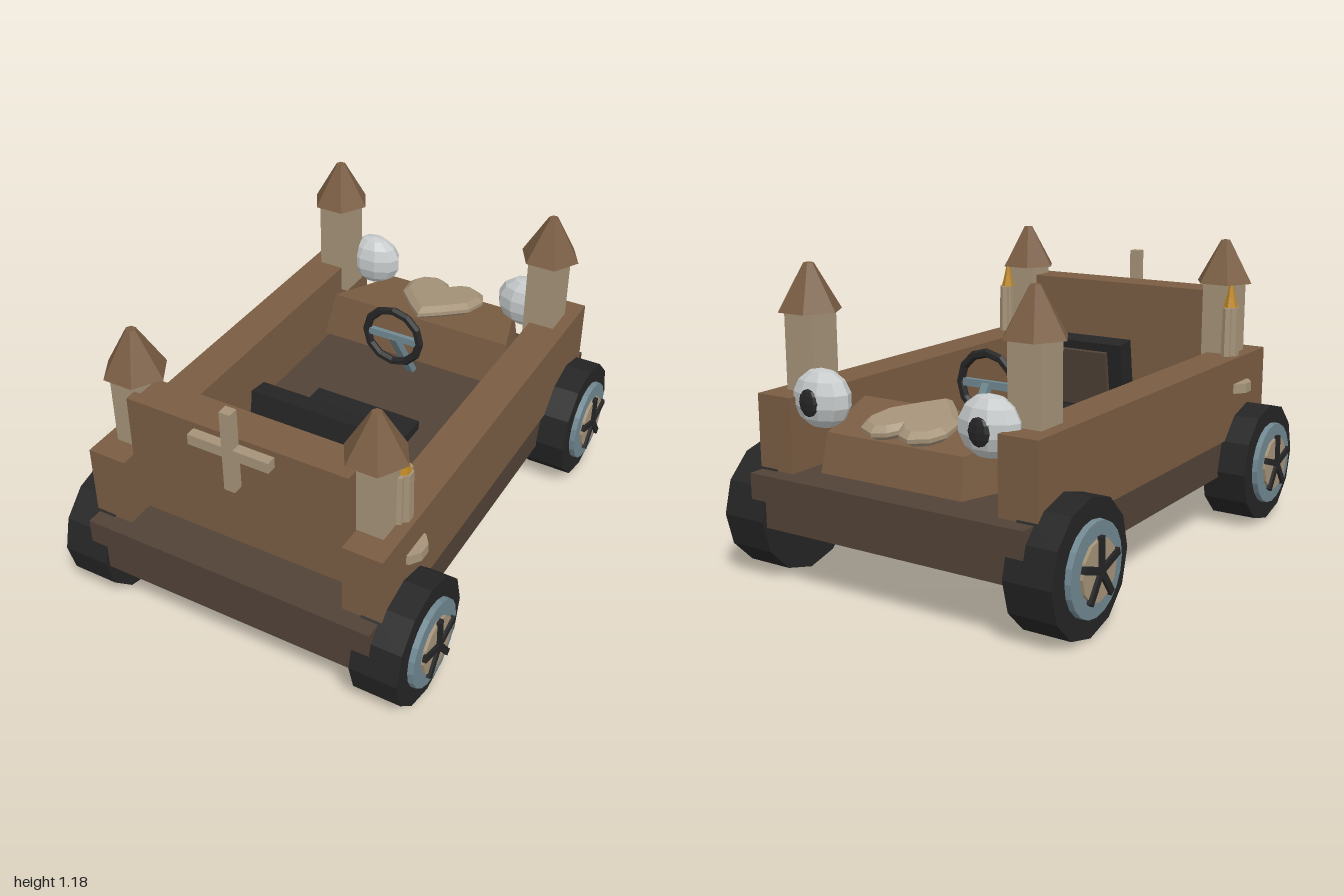
import * as THREE from 'three';

const mat = (name, color) => {
  const m = new THREE.MeshStandardMaterial({ color });
  m.name = name;
  m.flatShading = true;
  return m;
};

export function createModel() {
  const brown = mat('brown wood', 0x7a5d43);
  const dark = mat('dark wood', 0x514237);
  const tan = mat('pale stone', 0xa59379);
  const black = mat('black rubber', 0x252525);
  const steel = mat('blue grey metal', 0x708892);
  const white = mat('eye white', 0xc6caca);
  const gold = mat('flame gold', 0xbd871f);

  const model = new THREE.Group();
  model.name = 'castleCart';

  const add = (name, geo, material, x = 0, y = 0, z = 0, parent = model) => {
    const mesh = new THREE.Mesh(geo, material);
    mesh.name = name;
    mesh.position.set(x, y, z);
    parent.add(mesh);
    return mesh;
  };
  // box given by its limits on each axis
  const block = (name, material, x0, x1, y0, y1, z0, z1, parent = model) =>
    add(name, new THREE.BoxGeometry(x1 - x0, y1 - y0, z1 - z0), material,
      (x0 + x1) / 2, (y0 + y1) / 2, (z0 + z1) / 2, parent);
  const cyl = (rTop, rBottom, h, sides) => new THREE.CylinderGeometry(rTop, rBottom, h, sides);

  // body
  block('chassis', dark, -0.6, 0.6, 0.225, 0.425, -0.98, 0.98);
  block('endPanel', brown, -0.452, 0.452, 0.49, 0.97, 0.707, 0.855);
  block('crossUpright', tan, -0.022, 0.022, 0.76, 1.095, 0.855, 0.897);
  block('crossBar', tan, -0.165, 0.165, 0.903, 0.946, 0.855, 0.895);

  // hood: a box whose corners are drawn in towards the end and the top
  const hoodGeo = new THREE.BoxGeometry(2, 2, 2);
  const p = hoodGeo.attributes.position;
  for (let i = 0; i < p.count; i++) {
    const sx = p.getX(i), top = p.getY(i) > 0, inner = p.getZ(i) > 0;
    if (inner) p.setXYZ(i, sx * (top ? 0.41 : 0.45), top ? 0.656 : 0.456, top ? -0.545 : -0.52);
    else p.setXYZ(i, sx * (top ? 0.3 : 0.31), top ? 0.603 : 0.456, top ? -0.885 : -0.916);
  }
  hoodGeo.computeVertexNormals();
  add('hood', hoodGeo, brown);

  // heart lying on the sloping hood, tip towards the wheel
  const heart = new THREE.Shape();
  const half = [[0.07, -0.29], [0.155, -0.19], [0.172, -0.09], [0.145, -0.03], [0.08, 0], [0.03, -0.02]];
  heart.moveTo(0, -0.36);
  half.forEach(([x, y]) => heart.lineTo(x, y));
  heart.lineTo(0, -0.06);
  half.slice().reverse().forEach(([x, y]) => heart.lineTo(-x, y));
  heart.closePath();
  const heartGeo = new THREE.ExtrudeGeometry(heart, {
    depth: 0.015, bevelEnabled: true, bevelThickness: 0.02, bevelSize: 0.025, bevelOffset: -0.018, bevelSegments: 1,
  });
  const heartMesh = add('heart', heartGeo, tan, 0, 0.622, -0.9);
  heartMesh.rotation.x = -Math.PI / 2 - 0.14;

  // steering wheel and column
  add('steeringWheel', new THREE.TorusGeometry(0.122, 0.018, 6, 12), black, 0, 0.705, -0.31);
  block('steeringSpoke', steel, -0.115, 0.115, 0.69, 0.72, -0.32, -0.3);
  const a = new THREE.Vector3(0, 0.705, -0.31), b = new THREE.Vector3(0, 0.41, -0.5);
  const column = add('steeringColumn', new THREE.BoxGeometry(0.032, 0.03, a.distanceTo(b)), steel);
  column.position.copy(a).lerp(b, 0.5);
  column.lookAt(a);

  // seat with a slightly tilted back
  block('seatBase', black, -0.235, 0.235, 0.45, 0.49, -0.1, 0.4);
  const back = new THREE.Group();
  back.name = 'seatBack';
  back.position.set(0, 0.45, 0.398);
  back.rotation.x = -0.14;
  model.add(back);
  block('backrest', black, -0.235, 0.235, 0, 0.335, -0.043, 0.043, back);
  block('backPad', dark, -0.17, 0.17, 0.06, 0.3, -0.062, -0.043, back);

  for (const s of [1, -1]) {
    const side = s > 0 ? 'left' : 'right';
    const inner = s * 0.455, outer = s * 0.612;
    block(side + 'Wall', brown, Math.min(inner, outer), Math.max(inner, outer), 0.375, 0.712, -0.91, 0.91);

    for (const e of [1, -1]) {
      // corner tower
      const tower = new THREE.Group();
      tower.name = 'tower';
      tower.position.set(s * 0.493, 0, e * 0.741);
      model.add(tower);
      block('towerBody', tan, -0.067, 0.067, 0.6, 1.01, -0.067, 0.067, tower);
      const roof = add('towerRoof', cyl(0.02, 0.123, 0.177, 6), brown, 0, 1.0965, 0, tower);
      roof.rotation.y = Math.PI / 6;

      // wheel, built along its axle with the outer face up
      const wheel = new THREE.Group();
      wheel.name = 'wheel';
      wheel.position.set(s * 0.625, 0.25, e * 0.75);
      wheel.rotation.y = s > 0 ? 0 : Math.PI;
      model.add(wheel);
      const axle = new THREE.Group();
      axle.name = 'axle';
      axle.rotation.z = -Math.PI / 2;
      wheel.add(axle);
      add('tyre', cyl(0.25, 0.25, 0.19, 12), black, 0, 0, 0, axle);
      add('rim', cyl(0.17, 0.172, 0.025, 20), steel, 0, 0.105, 0, axle);
      add('hubDisc', cyl(0.112, 0.112, 0.015, 12), tan, 0, 0.122, 0, axle);
      for (let i = 0; i < 5; i++) {
        const spoke = new THREE.Group();
        spoke.name = 'spoke';
        spoke.rotation.x = (i / 5) * Math.PI * 2;
        wheel.add(spoke);
        block('spokeBar', black, 0.125, 0.141, 0, 0.122, -0.013, 0.013, spoke);
      }
    }

    // candles beside the tower, and their ledge on the wall
    const candles = new THREE.Group();
    candles.name = side + 'Candles';
    candles.position.set(s * 0.557, 0, 0.67);
    model.add(candles);
    add('ledge', cyl(0.08, 0.08, 0.04, 10), tan, s * 0.018, 0.585, 0, candles);
    add('candle', cyl(0.033, 0.036, 0.21, 6), tan, s * 0.005, 0.81, 0, candles);
    for (const d of [-1, 1]) add('sideCandle', cyl(0.02, 0.022, 0.205, 6), tan, 0, 0.8125, d * 0.03, candles);
    add('flameBase', cyl(0.014, 0.03, 0.06, 6), gold, 0, 0.945, 0, candles);
    add('flameTip', cyl(0.003, 0.019, 0.075, 6), gold, 0, 0.995, 0, candles);

    // bulging eye on the hood
    const eye = add(side + 'Eye', new THREE.SphereGeometry(1, 10, 7), white, s * 0.37, 0.708, -0.828);
    eye.scale.set(0.125, 0.113, 0.08);
    const pupil = add(side + 'Pupil', new THREE.SphereGeometry(1, 8, 6), black, s * 0.373, 0.703, -0.9);
    pupil.scale.set(0.045, 0.052, 0.015);
  }

  return model;
}
